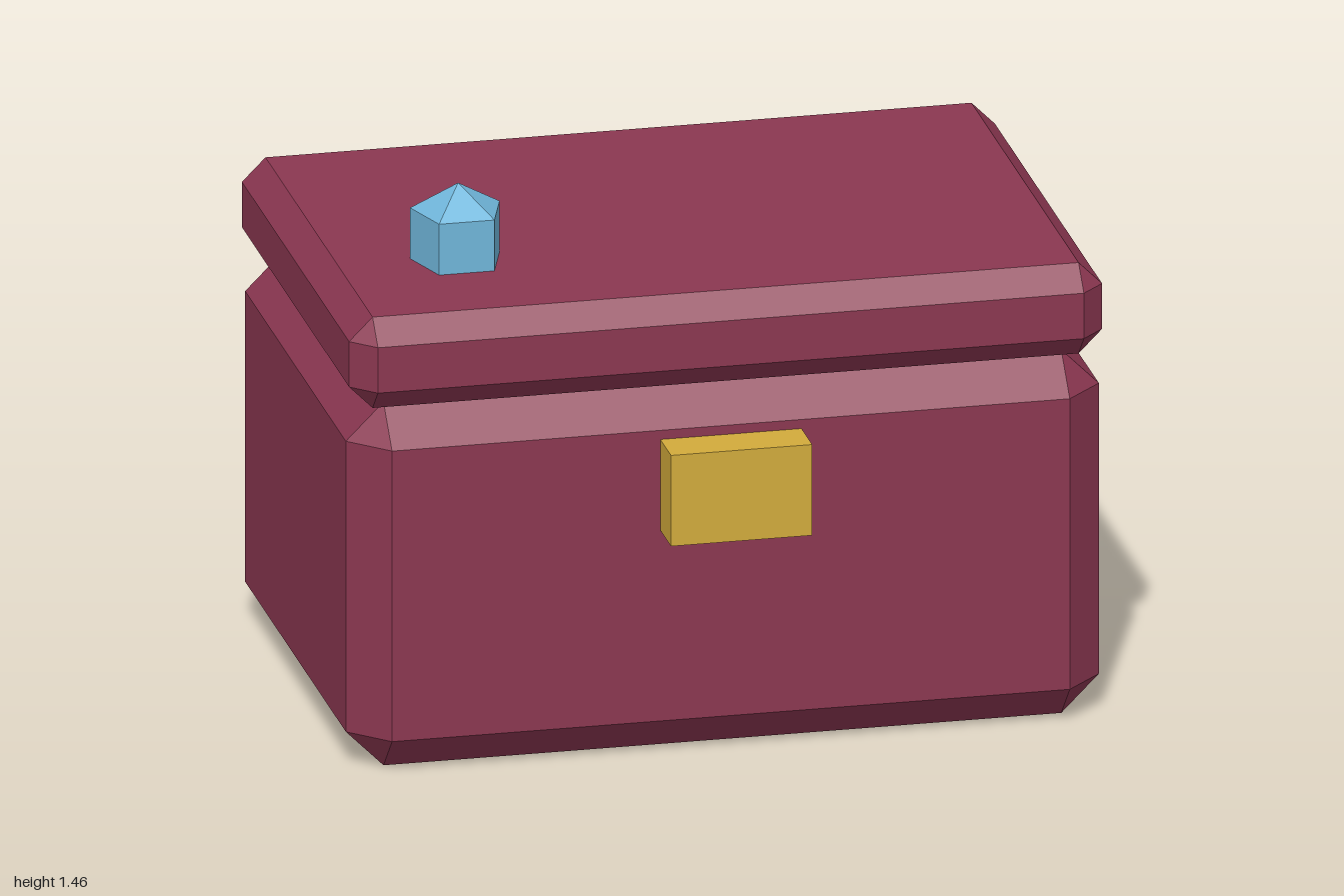
import * as THREE from 'three';
import { ConvexGeometry } from 'three/addons/geometries/ConvexGeometry.js';

const lacquer = new THREE.MeshStandardMaterial({ color: 0x8b3751 });
lacquer.name = 'red lacquer';
const gold = new THREE.MeshStandardMaterial({ color: 0xd2ab3c });
gold.name = 'gold';
const crystal = new THREE.MeshStandardMaterial({ color: 0x70b6da });
crystal.name = 'blue crystal';

// Box with every edge bevelled: hull of the three inset points at each corner
function bevelledBox(width, height, depth, bevel) {
  const half = [width / 2, height / 2, depth / 2];
  const points = [];
  for (const sx of [-1, 1]) for (const sy of [-1, 1]) for (const sz of [-1, 1]) {
    for (let axis = 0; axis < 3; axis++) {
      const [x, y, z] = half.map((h, i) => (i === axis ? h : h - bevel));
      points.push(new THREE.Vector3(x * sx, y * sy, z * sz));
    }
  }
  return new ConvexGeometry(points);
}

// Split the faces so that each one is shaded flat
function faceted(geometry) {
  const flat = geometry.toNonIndexed();
  flat.computeVertexNormals();
  return flat;
}

function part(name, geometry, material, x, y, z) {
  const mesh = new THREE.Mesh(geometry, material);
  mesh.name = name;
  mesh.position.set(x, y, z);
  return mesh;
}

export function createModel() {
  const chest = new THREE.Group();
  chest.name = 'chest';

  // Body, lid and front clasp
  chest.add(part('body', bevelledBox(2, 1, 1.375, 0.1), lacquer, 0, 0.5, -0.0625));
  chest.add(part('lid', bevelledBox(2, 0.25, 1.375, 0.0625), lacquer, 0, 1.125, -0.0625));
  chest.add(part('clasp', new THREE.BoxGeometry(0.375, 0.25, 0.125), gold, 0, 0.75, 0.6875));

  // Five-sided gem with a pointed tip, one corner towards the back
  const gem = new THREE.Group();
  gem.name = 'gem';
  gem.position.set(-0.625, 1.25, 0.1875);
  gem.rotation.y = Math.PI;
  const radius = 0.125, sides = 5, wall = 0.14, tip = 0.073;
  gem.add(part('gemBase', faceted(new THREE.CylinderGeometry(radius, radius, wall, sides, 1, true)), crystal, 0, wall / 2, 0));
  gem.add(part('gemTip', faceted(new THREE.ConeGeometry(radius, tip, sides, 1, true)), crystal, 0, wall + tip / 2, 0));
  chest.add(gem);

  return chest;
}
